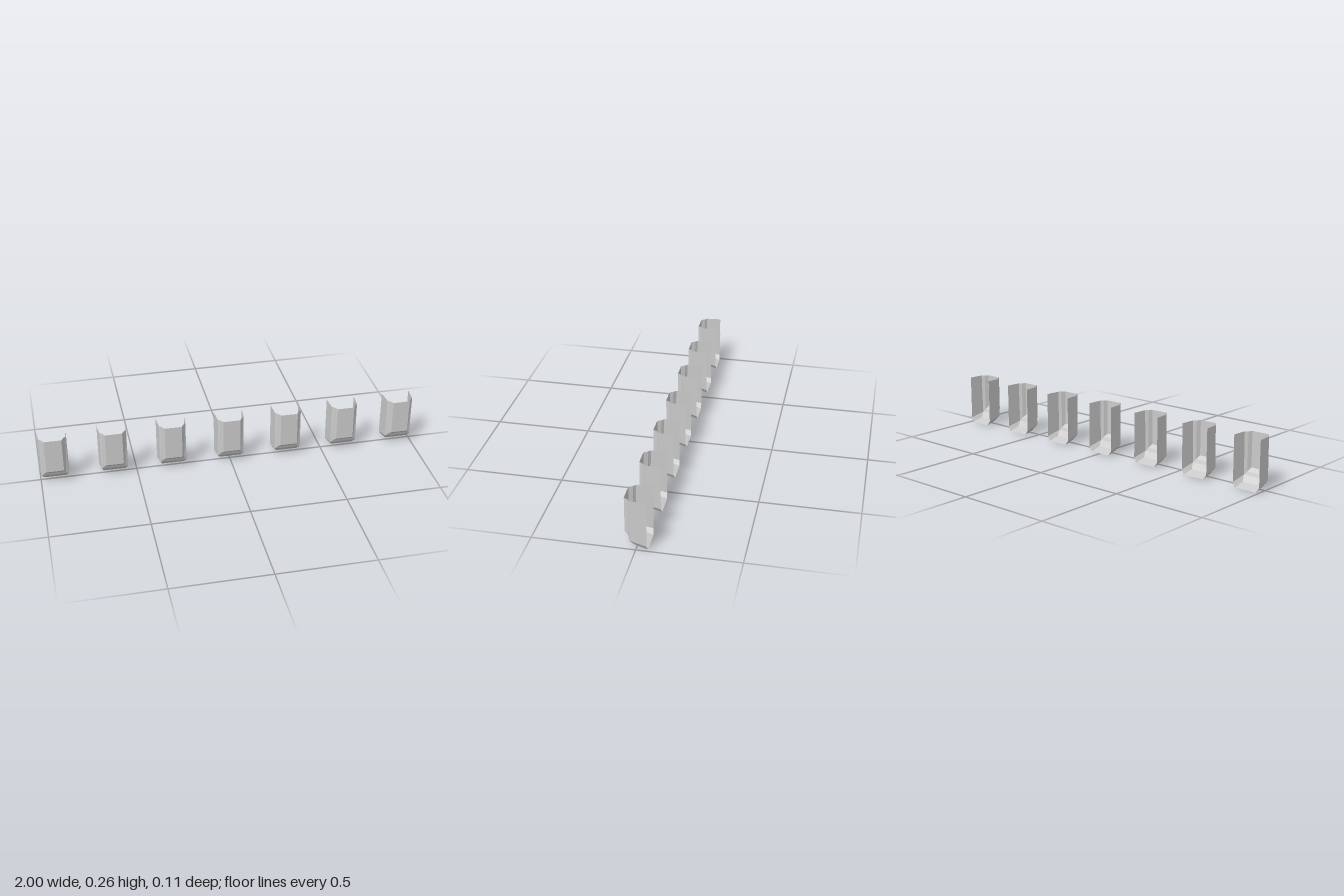
import * as THREE from 'three';

const TOP = 0.261;

// U-shaped section, running down the right side, across the bottom and up the left side.
// Each of top, corner and floor is [half width, y, z].
function ring(top, corner, floor = corner) {
  const half = [top, corner, floor];
  const right = half.map(([x, y, z]) => new THREE.Vector3(-x, y, z));
  const left = half.map(([x, y, z]) => new THREE.Vector3(x, y, z)).reverse();
  return [...right, ...left];
}

function shellGeometry() {
  const lipTop = [0.069, TOP, 0.026], lipCorner = [0.069, 0.043, 0.031];
  const rings = [
    ring([0.045, TOP, 0.057], [0.045, 0.078, 0.057]),                          // raised panel
    ring([0.055, TOP, 0.038], [0.055, 0.06, 0.038]),                           // foot of the panel bevel
    ring(lipTop, lipCorner),                                                   // front edge of the side walls
    ring(lipTop, lipCorner, [0.057, 0.016, 0.006]),                            // front edge of the floor
    ring([0.075, TOP, -0.052], [0.075, 0.024, -0.052], [0.059, 0, -0.055]),    // open back
  ];
  const pos = [];
  const tri = (a, b, c) => {
    const area = new THREE.Triangle(a, b, c).getArea();
    if (area > 1e-8) for (const p of [a, b, c]) pos.push(p.x, p.y, p.z);
  };
  const quad = (a, b, c, d) => { tri(a, b, c); tri(a, c, d); };

  const f = rings[0];
  quad(f[0], f[1], f[4], f[5]);
  for (let r = 0; r < rings.length - 1; r++) {
    const p = rings[r], q = rings[r + 1];
    for (let i = 0; i < 5; i++) quad(p[i], q[i], q[i + 1], p[i + 1]);
  }
  const geo = new THREE.BufferGeometry();
  geo.setAttribute('position', new THREE.Float32BufferAttribute(pos, 3));
  geo.computeVertexNormals();
  return geo;
}

export function createModel() {
  const model = new THREE.Group();
  model.name = 'shellRow';
  const material = new THREE.MeshStandardMaterial({
    color: 0xcccccc, flatShading: true, side: THREE.DoubleSide,
  });
  const geometry = shellGeometry();

  // Seven equal shells, open at the top and back, in a row
  for (let i = 0; i < 7; i++) {
    const shell = new THREE.Mesh(geometry, material);
    shell.name = `shell${i + 1}`;
    shell.position.x = (i - 3) * 0.925 / 3;
    model.add(shell);
  }
  return model;
}
